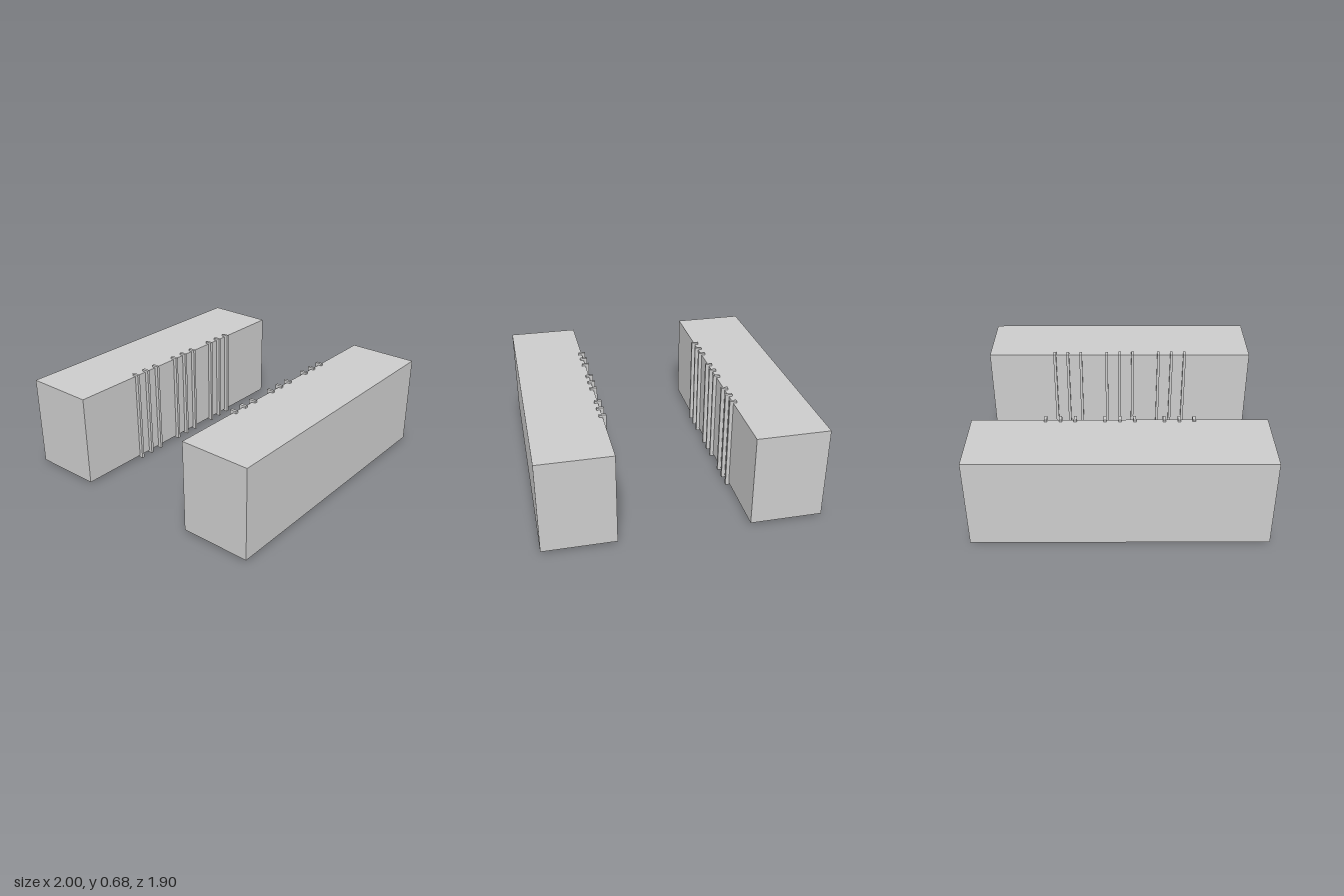
import * as THREE from 'three';

const BLOCK = { width: 2, height: 0.65, depth: 0.5, z: 0.7 };
const RIB = { width: 0.02, height: 0.68, depth: 0.05, z: 0.45 };

export function createModel() {
  const model = new THREE.Group();
  model.name = 'facingBlocks';
  const material = new THREE.MeshStandardMaterial({ color: 0xcccccc, flatShading: true });
  const blockGeometry = new THREE.BoxGeometry(BLOCK.width, BLOCK.height, BLOCK.depth);
  const ribGeometry = new THREE.BoxGeometry(RIB.width, RIB.height, RIB.depth);

  const add = (parent, name, geometry, x, z) => {
    const mesh = new THREE.Mesh(geometry, material);
    mesh.name = name;
    mesh.position.set(x, RIB.height / 2, z);
    parent.add(mesh);
  };

  // Two mirrored blocks with a gap between them
  for (const [side, sign] of [['front', 1], ['back', -1]]) {
    const half = new THREE.Group();
    half.name = `${side}Half`;
    add(half, `${side}Block`, blockGeometry, 0, sign * BLOCK.z);

    // Three clusters of three upright ribs, half sunk into the inner face
    for (const cluster of [-0.4, 0, 0.4]) {
      for (const offset of [-0.1, 0, 0.1]) {
        add(half, `${side}Rib`, ribGeometry, cluster + offset, sign * RIB.z);
      }
    }
    model.add(half);
  }
  return model;
}
